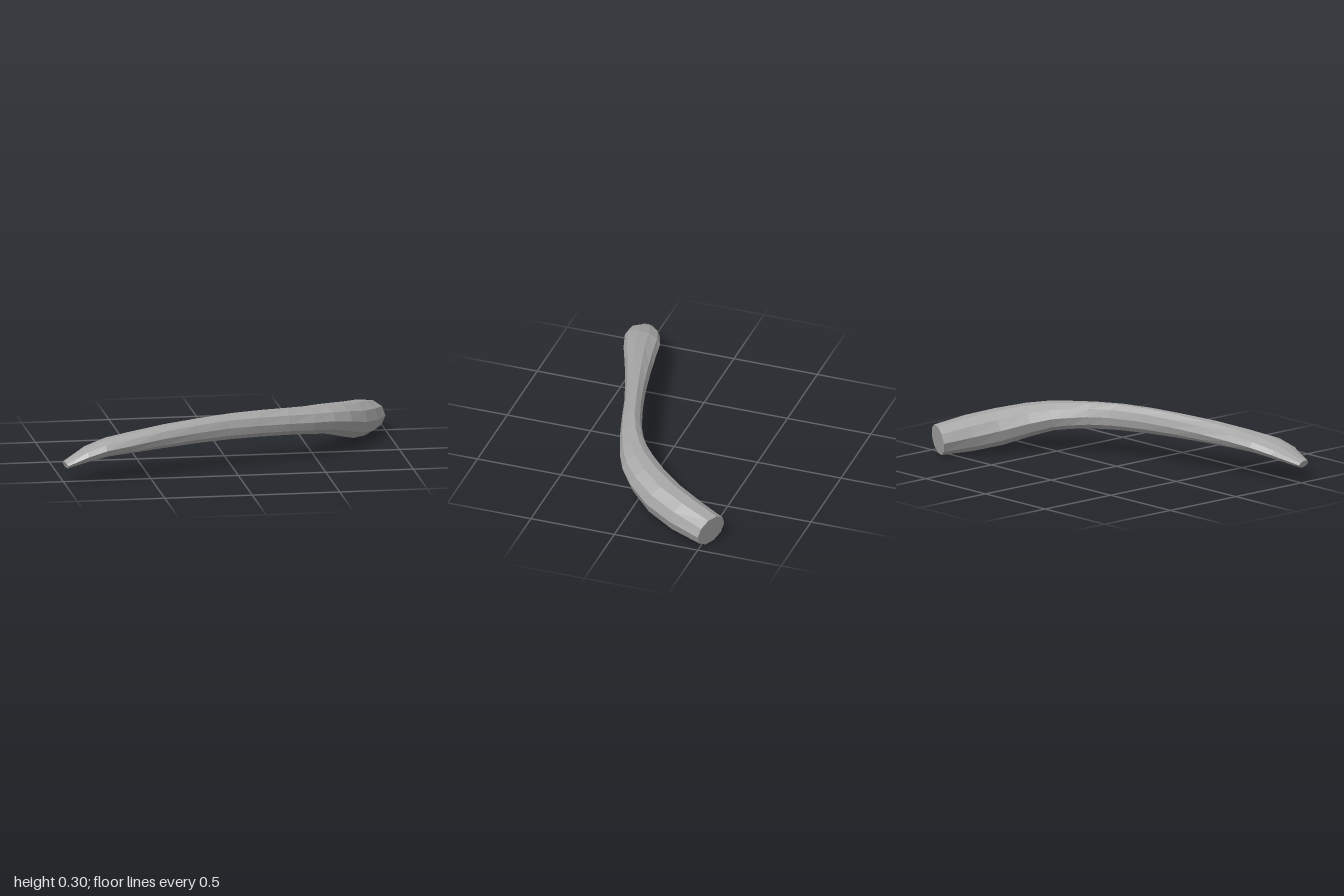
import * as THREE from 'three';

const SIDES = 10;

// Stations from thin tip to thick end: near edge x,z / far edge x,z / top y / bottom y
const STATIONS = [
  [-1.0, 0.482, -0.983, 0.567, 0.127, 0.083],
  [-0.86, 0.395, -0.865, 0.58, 0.197, 0.113],
  [-0.73, 0.345, -0.76, 0.568, 0.232, 0.135],
  [-0.58, 0.316, -0.61, 0.522, 0.253, 0.143],
  [-0.38, 0.276, -0.42, 0.447, 0.276, 0.151],
  [-0.17, 0.23, -0.21, 0.369, 0.291, 0.157],
  [0.02, 0.18, -0.02, 0.306, 0.3, 0.158],
  [0.2, 0.122, 0.15, 0.26, 0.3, 0.154],
  [0.32, 0.065, 0.34, 0.204, 0.293, 0.146],
  [0.41, 0.002, 0.5, 0.146, 0.284, 0.133],
  [0.48, -0.06, 0.62, 0.088, 0.279, 0.118],
  [0.56, -0.15, 0.73, 0.0, 0.265, 0.083],
  [0.655, -0.29, 0.84, -0.135, 0.238, 0.034],
  [0.73, -0.43, 0.93, -0.305, 0.208, 0.009],
  [0.802, -0.588, 1.0, -0.5, 0.167, 0.001],
];

// Elliptical rings square to the centre line
function buildRings() {
  const centres = STATIONS.map(([ax, az, bx, bz, top, bottom]) =>
    new THREE.Vector3((ax + bx) / 2, (top + bottom) / 2, (az + bz) / 2));
  const last = centres.length - 1;
  return STATIONS.map(([ax, az, bx, bz, top, bottom], i) => {
    const tangent = centres[Math.min(i + 1, last)].clone()
      .sub(centres[Math.max(i - 1, 0)]).normalize();
    const side = new THREE.Vector3(bx - ax, 0, bz - az);
    const halfWidth = side.length() / 2;
    side.normalize();
    const up = side.clone().cross(tangent).normalize();
    const halfHeight = (top - bottom) / 2 / Math.sin(Math.PI * 0.4) * (i === last ? 1 : up.y);
    const points = [];
    for (let j = 0; j < SIDES; j++) {
      const a = j / SIDES * Math.PI * 2;
      points.push(centres[i].clone()
        .addScaledVector(side, Math.cos(a) * halfWidth)
        .addScaledVector(up, Math.sin(a) * halfHeight));
    }
    return { centre: centres[i], points };
  });
}

function toGeometry(triangles) {
  const geometry = new THREE.BufferGeometry().setFromPoints(triangles);
  geometry.computeVertexNormals();
  return geometry;
}

export function createModel() {
  const group = new THREE.Group();
  group.name = 'curvedHorn';
  const grey = new THREE.MeshStandardMaterial({ color: 0xa6a6a6, flatShading: true });
  grey.name = 'grey';

  const rings = buildRings();
  const shaft = [], tipCap = [], baseCap = [];
  const first = rings[0], end = rings[rings.length - 1];
  for (let j = 0; j < SIDES; j++) {
    const k = (j + 1) % SIDES;
    for (let i = 0; i < rings.length - 1; i++) {
      const p = rings[i].points, q = rings[i + 1].points;
      shaft.push(p[j], q[j], q[k], p[j], q[k], p[k]);
    }
    tipCap.push(first.centre, first.points[j], first.points[k]);
    baseCap.push(end.centre, end.points[k], end.points[j]);
  }

  // Faceted curved body and its two flat ends
  for (const [name, triangles] of Object.entries({ shaft, tipCap, baseCap })) {
    const mesh = new THREE.Mesh(toGeometry(triangles), grey);
    mesh.name = name;
    group.add(mesh);
  }
  return group;
}
